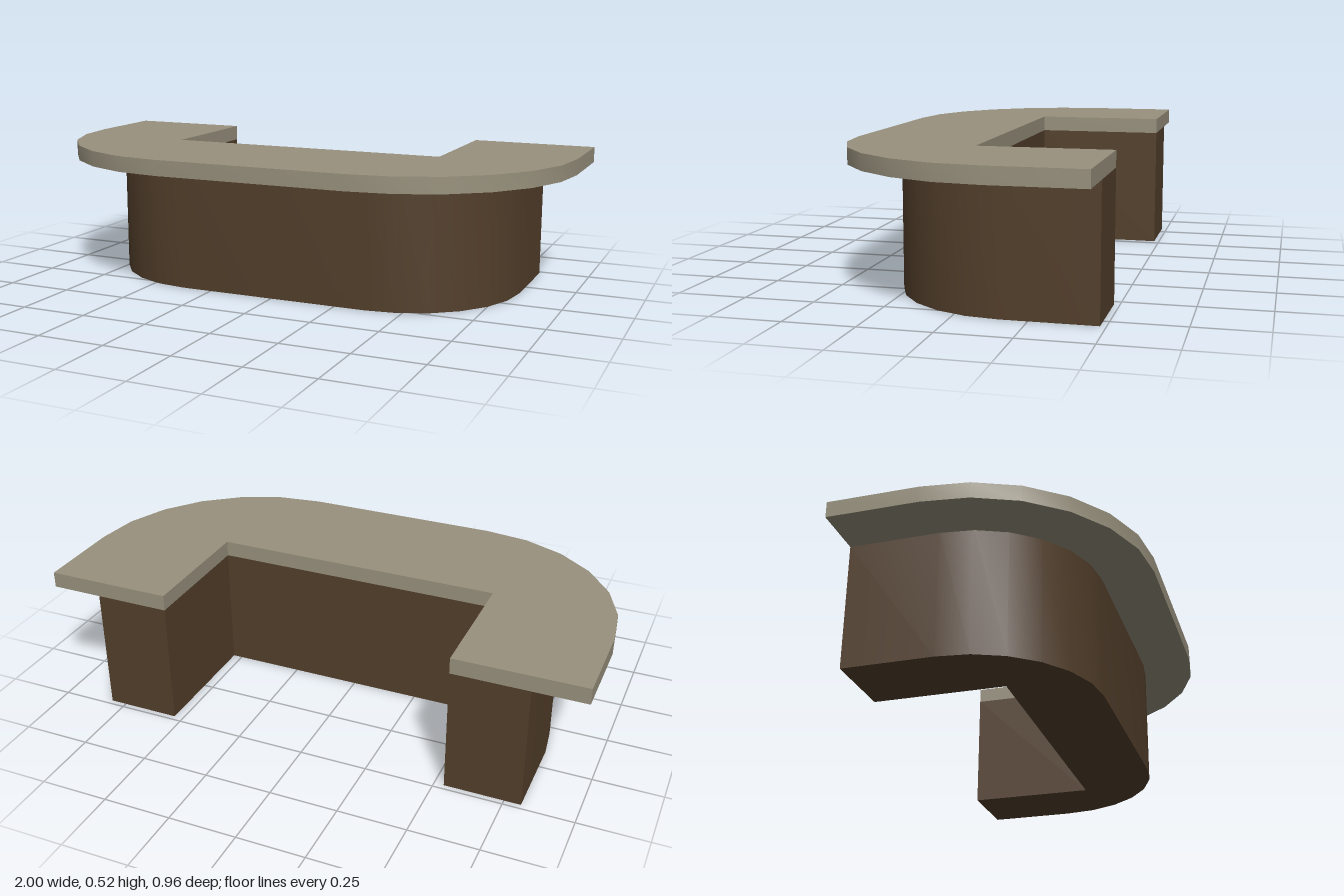
import * as THREE from 'three';
import { toCreasedNormals } from 'three/addons/utils/BufferGeometryUtils.js';

const BACK = -0.48;       // rear ends of both arms
const INNER_X = 0.535;    // half width of the recess
const INNER_Z = -0.005;   // front wall of the recess
const CX = 0.365;         // centre of the rounded corners
const CZ = -0.155;

// U-shaped slab with two rounded front corners, from height y0 to y1
function uSlab(name, radius, y0, y1, material) {
  const s = new THREE.Shape();
  s.moveTo(INNER_X, BACK);
  s.lineTo(CX + radius, BACK);
  s.lineTo(CX + radius, CZ);
  s.absarc(CX, CZ, radius, 0, Math.PI / 2, false);
  s.lineTo(-CX, CZ + radius);
  s.absarc(-CX, CZ, radius, Math.PI / 2, Math.PI, false);
  s.lineTo(-CX - radius, BACK);
  s.lineTo(-INNER_X, BACK);
  s.lineTo(-INNER_X, INNER_Z);
  s.lineTo(INNER_X, INNER_Z);
  s.closePath();

  let geo = new THREE.ExtrudeGeometry(s, {
    depth: y1 - y0, bevelEnabled: false, curveSegments: 3,
  });
  geo.rotateX(Math.PI / 2);
  geo.translate(0, y1, 0);
  geo = toCreasedNormals(geo, Math.PI / 6);
  const mesh = new THREE.Mesh(geo, material);
  mesh.name = name;
  return mesh;
}

export function createModel() {
  const stone = new THREE.MeshStandardMaterial({ color: 0x98917d });
  stone.name = 'counter stone';
  const wood = new THREE.MeshStandardMaterial({ color: 0x533f2b });
  wood.name = 'dark wood';

  const group = new THREE.Group();
  group.name = 'counter';
  group.add(uSlab('base', 0.445, 0, 0.458, wood));
  group.add(uSlab('countertop', 0.635, 0.458, 0.516, stone));
  return group;
}
